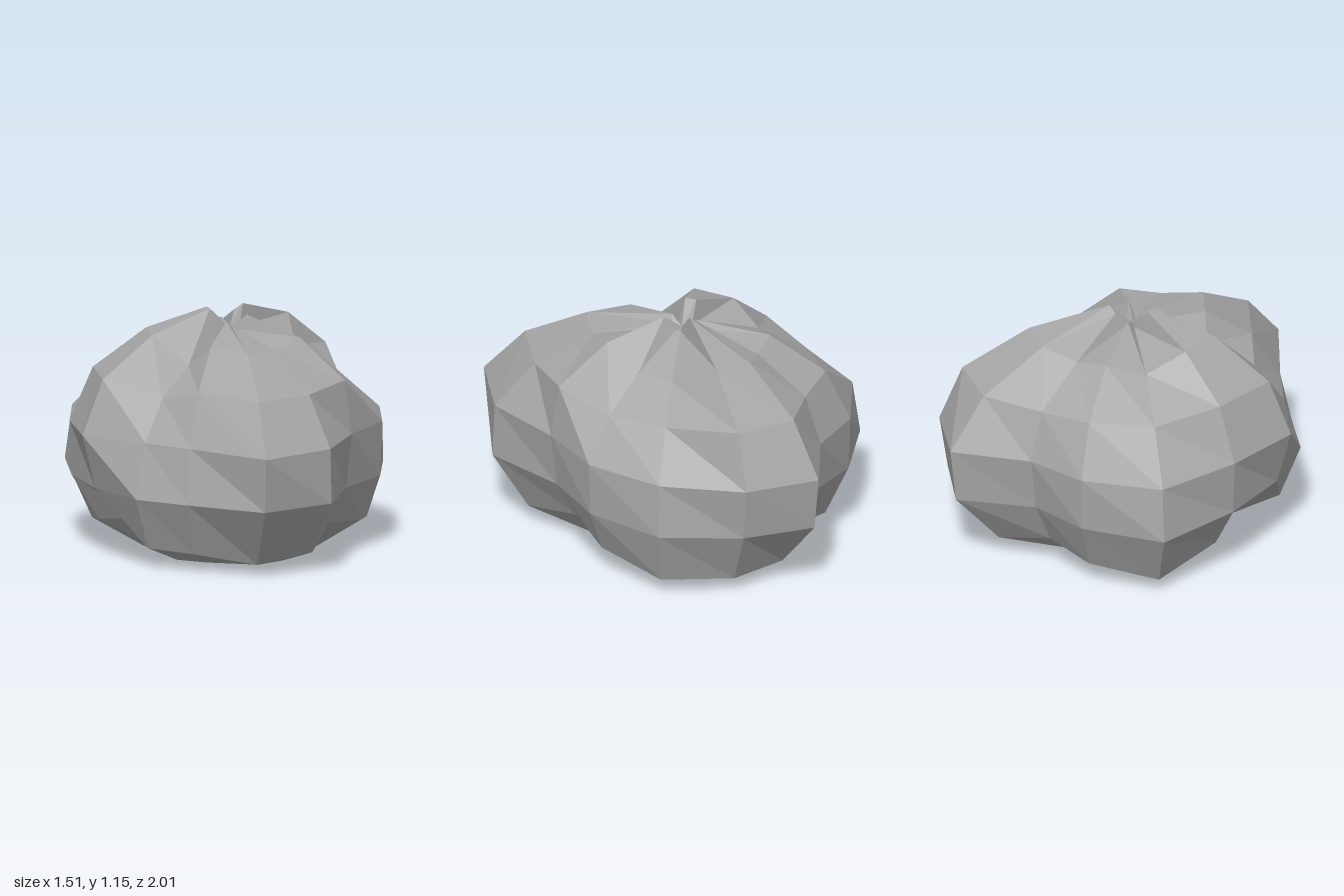
import * as THREE from 'three';

const CX = 0.03, CZ = -0.04;

// Folds around the axis: angle in degrees, radius at foot, belly, waist and shoulder, depth of the crease.
const folds = [
  [0, 0.62, 0.71, 0.72, 0.56, 0.9], [30, 0.54, 0.64, 0.67, 0.63, 0.1],
  [57, 0.73, 0.9, 0.89, 0.7, 0.4], [80, 0.8, 1.03, 1.06, 0.84, 0.3],
  [103, 0.72, 0.84, 0.78, 0.63, 0.2], [123, 0.7, 0.8, 0.72, 0.58, 1],
  [150, 0.5, 0.73, 0.8, 0.69, 0], [180, 0.62, 0.75, 0.76, 0.65, 0],
  [210, 0.76, 0.91, 0.87, 0.64, 0.6], [237, 0.68, 0.79, 0.8, 0.68, 0.2],
  [260, 0.6, 0.7, 0.74, 0.66, 0.4], [281, 0.72, 0.95, 0.98, 0.8, 0.1],
  [303, 0.75, 0.88, 0.92, 0.81, 0], [330, 0.74, 0.83, 0.81, 0.58, 0.9],
];

// Cross-sections of one fold from base to top, as [radius, height].
function foldProfile(foot, belly, waist, shoulder, crease) {
  const pinch = Math.min(1, 3 * crease);
  return [
    [0.1 + 0.5 * foot, 0],
    [foot, 0.05 + 0.43 * (0.8 - foot)],
    [belly, 0.34],
    [waist, 0.6],
    [shoulder, 0.86 - 0.07 * crease],
    [0.61 * shoulder, 1.05 - 0.13 * crease],
    [0.11 - 0.06 * pinch, 1.15 - 0.1 * pinch],
  ];
}

// Loft the cross-sections and close both ends with fans.
function foldedBodyGeometry() {
  const n = folds.length;
  const pos = [], index = [];
  let levelCount = 0;
  for (const [deg, ...shape] of folds) {
    const a = THREE.MathUtils.degToRad(deg);
    const profile = foldProfile(...shape);
    levelCount = profile.length;
    for (const [r, y] of profile) {
      pos.push(CX + r * Math.cos(a), y, CZ + r * Math.sin(a));
    }
  }
  const bottom = pos.length / 3, top = bottom + 1;
  pos.push(CX, 0, CZ, CX, 1.05, CZ);
  for (let i = 0; i < n; i++) {
    const a = i * levelCount, b = ((i + 1) % n) * levelCount;
    for (let k = 0; k < levelCount - 1; k++) {
      index.push(a + k, a + k + 1, b + k + 1, a + k, b + k + 1, b + k);
    }
    index.push(bottom, a, b, top, b + levelCount - 1, a + levelCount - 1);
  }
  const indexed = new THREE.BufferGeometry();
  indexed.setAttribute('position', new THREE.Float32BufferAttribute(pos, 3));
  indexed.setIndex(index);
  // Separate corners give every facet its own flat normal
  const geometry = indexed.toNonIndexed();
  geometry.computeVertexNormals();
  return geometry;
}

export function createModel() {
  const group = new THREE.Group();
  group.name = 'gatheredSack';
  const grey = new THREE.MeshStandardMaterial({ color: 0xa6a6a6 });
  grey.name = 'grey';

  // Lumpy body with the creased, gathered top
  const body = new THREE.Mesh(foldedBodyGeometry(), grey);
  body.name = 'foldedBody';
  group.add(body);
  return group;
}
